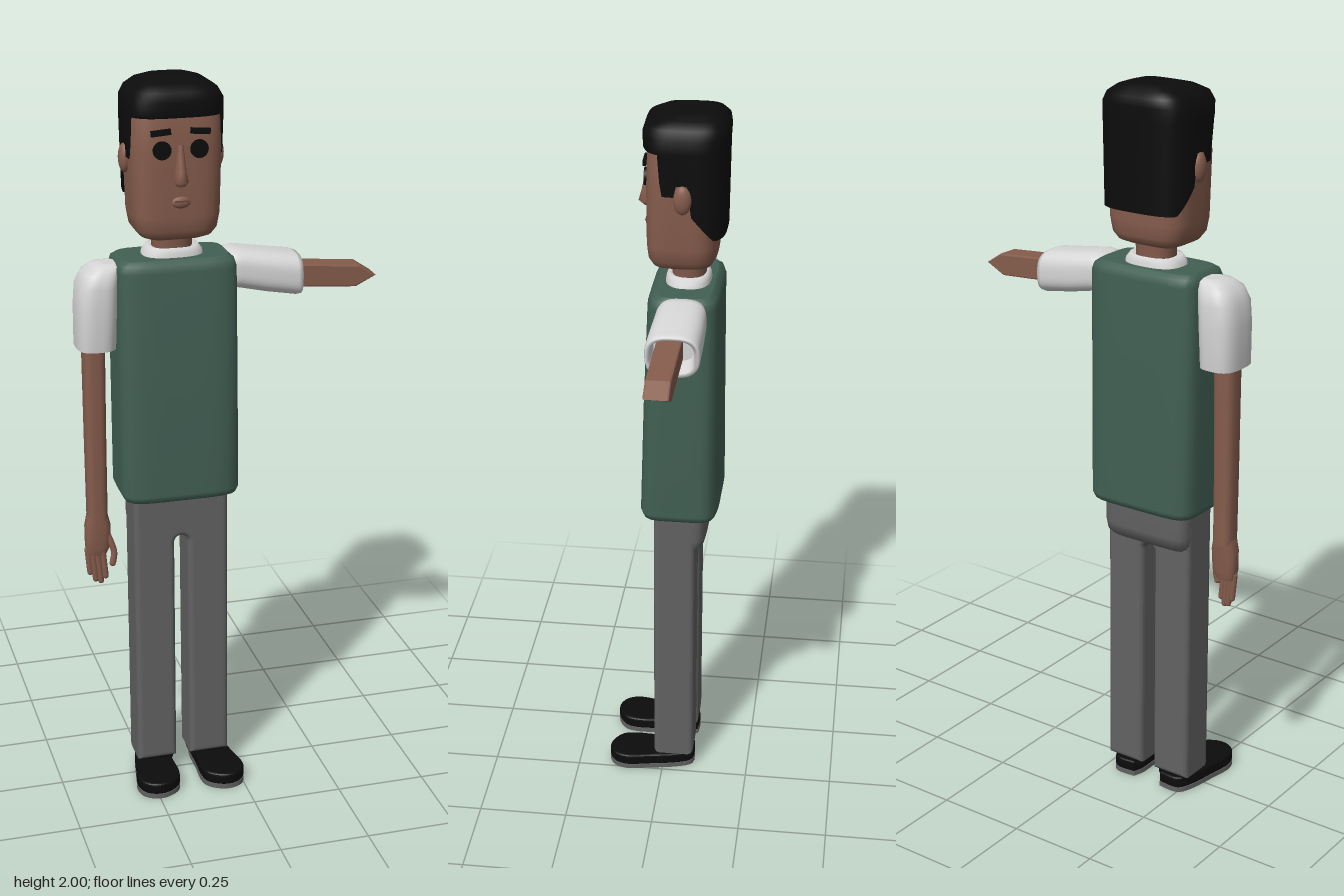
import * as THREE from 'three';

const CX = -0.147; // centre line of the body

const paint = (name, color) => {
  const m = new THREE.MeshStandardMaterial({ color, side: THREE.DoubleSide });
  m.name = name;
  return m;
};

// Skin of rounded-square rings. Section: [y, xCentre, zCentre, xRadius, zRadius]; y may be a function of z.
function loft(sections, power = 4, { bottom = true, top = true, n = 48 } = {}) {
  const pos = [], index = [];
  const ring = ([y, cx, cz, rx, rz]) => {
    const start = pos.length / 3;
    for (let j = 0; j < n; j++) {
      const a = (j / n) * Math.PI * 2, c = Math.cos(a), s = Math.sin(a);
      const r = (Math.abs(c) ** power + Math.abs(s) ** power) ** (-1 / power);
      const z = cz + rz * r * s;
      pos.push(cx + rx * r * c, typeof y === 'function' ? y(z) : y, z);
    }
    return start;
  };
  const starts = sections.map(ring);
  for (let i = 0; i < starts.length - 1; i++) {
    for (let j = 0; j < n; j++) {
      const k = (j + 1) % n;
      const a = starts[i] + j, b = starts[i] + k, c = starts[i + 1] + j, d = starts[i + 1] + k;
      index.push(a, c, b, b, c, d);
    }
  }
  const cap = (section, up) => {
    const s = ring(section), m = pos.length / 3;
    pos.push(section[1], section[0], section[2]);
    for (let j = 0; j < n; j++) {
      const k = (j + 1) % n;
      if (up) index.push(m, s + k, s + j);
      else index.push(m, s + j, s + k);
    }
  };
  if (bottom) cap(sections[0], false);
  if (top) cap(sections[sections.length - 1], true);
  const g = new THREE.BufferGeometry();
  g.setAttribute('position', new THREE.Float32BufferAttribute(pos, 3));
  g.setIndex(index);
  g.computeVertexNormals();
  return g;
}

// Hairline height at depth z: nape, behind the ear, sideburn, forehead
const HAIRLINE = [[-0.13, 1.68], [-0.07, 1.75], [-0.064, 1.83], [-0.032, 1.83], [-0.028, 1.8], [0.008, 1.8], [0.014, 1.91]];
function hairline(z) {
  if (z <= HAIRLINE[0][0]) return HAIRLINE[0][1];
  for (let i = 1; i < HAIRLINE.length; i++) {
    const [z0, y0] = HAIRLINE[i - 1], [z1, y1] = HAIRLINE[i];
    if (z <= z1) return y0 + ((y1 - y0) * (z - z0)) / (z1 - z0);
  }
  return 1.91;
}

export function createModel() {
  const group = new THREE.Group();
  const skin = paint('skin', 0x855c4c);
  const black = paint('black', 0x0c0c0c);
  const vestGreen = paint('vest green', 0x426054);
  const white = paint('shirt white', 0xd6d6d6);
  const grey = paint('trouser grey', 0x626262);
  const lipBrown = paint('lip brown', 0x6b463a);

  const add = (name, geometry, material, x = 0, y = 0, z = 0) => {
    const m = new THREE.Mesh(geometry, material);
    m.name = name;
    m.position.set(x, y, z);
    group.add(m);
    return m;
  };

  // Torso
  add('vest', loft([
    [0.855, CX, -0.044, 0.143, 0.088], [0.862, CX, -0.044, 0.156, 0.102], [0.88, CX, -0.044, 0.163, 0.109],
    [1.2, CX, -0.047, 0.163, 0.103], [1.5, CX, -0.052, 0.163, 0.096],
    [1.52, CX, -0.053, 0.157, 0.089], [1.53, CX, -0.053, 0.143, 0.075],
  ], 6), vestGreen);
  add('collar', loft([
    [1.52, CX, -0.056, 0.084, 0.062], [1.54, CX, -0.056, 0.08, 0.06],
    [1.555, CX, -0.056, 0.068, 0.054], [1.55, CX, -0.056, 0.05, 0.045],
  ], 2.6), white);
  add('neck', loft([
    [1.51, CX, -0.057, 0.054, 0.046], [1.57, CX, -0.057, 0.054, 0.046], [1.61, CX, -0.055, 0.064, 0.054],
  ], 2.2), skin);

  // Head
  add('head', loft([
    [1.583, CX, -0.043, 0.075, 0.06], [1.592, CX, -0.043, 0.095, 0.08], [1.612, CX, -0.043, 0.11, 0.091],
    [1.65, CX, -0.043, 0.117, 0.095], [1.82, CX, -0.043, 0.122, 0.096], [1.94, CX, -0.045, 0.118, 0.094],
    [1.965, CX, -0.045, 0.09, 0.07],
  ], 4), skin);
  add('hair', loft([
    [hairline, CX, -0.05, 0.126, 0.108], [1.915, CX, -0.05, 0.13, 0.111], [1.95, CX, -0.05, 0.129, 0.113],
    [1.973, CX, -0.052, 0.116, 0.108], [1.99, CX, -0.062, 0.09, 0.083], [2.0, CX, -0.07, 0.055, 0.05],
  ], 3.5, { bottom: false, n: 120 }), black);
  add('nose', loft([
    [1.733, CX, 0.045, 0.012, 0.02], [1.745, CX, 0.045, 0.02, 0.034],
    [1.77, CX, 0.045, 0.015, 0.027], [1.84, CX, 0.045, 0.008, 0.012],
  ], 2.5, { n: 20 }), skin);
  const mouth = add('mouth', new THREE.SphereGeometry(1, 20, 12), skin, CX, 1.69, 0.05);
  mouth.scale.set(0.026, 0.016, 0.01);
  add('lipLine', new THREE.BoxGeometry(0.034, 0.004, 0.006), lipBrown, CX, 1.694, 0.057);
  for (const s of [-1, 1]) {
    const eye = add('eye', new THREE.CylinderGeometry(0.024, 0.024, 0.008, 28), black, CX + s * 0.049, 1.828, 0.053);
    eye.rotation.x = Math.PI / 2;
    const brow = add('eyebrow', new THREE.BoxGeometry(0.052, 0.015, 0.009), black, CX + s * 0.052, 1.874, 0.054);
    brow.rotation.z = -s * 0.08;
    const ear = add('ear', new THREE.SphereGeometry(1, 18, 14), skin, CX + s * 0.125, 1.793, -0.05);
    ear.scale.set(0.016, 0.039, 0.024);
  }

  // Hanging right arm
  add('rightSleeve', loft([
    [1.34, -0.362, -0.052, 0.04, 0.055], [1.295, -0.362, -0.052, 0.045, 0.062], [1.29, -0.362, -0.052, 0.053, 0.07],
    [1.4, -0.359, -0.052, 0.055, 0.073], [1.46, -0.355, -0.052, 0.054, 0.072],
    [1.495, -0.344, -0.052, 0.048, 0.063], [1.513, -0.33, -0.052, 0.036, 0.045], [1.518, -0.322, -0.052, 0.02, 0.025],
  ], 3), white);
  add('rightArm', loft([
    [0.79, -0.369, -0.048, 0.028, 0.03], [1.0, -0.369, -0.048, 0.029, 0.031], [1.38, -0.367, -0.05, 0.031, 0.035],
  ], 3), skin);
  add('rightPalm', loft([
    [0.685, -0.373, -0.045, 0.026, 0.018], [0.71, -0.37, -0.045, 0.035, 0.024],
    [0.77, -0.369, -0.046, 0.036, 0.027], [0.81, -0.369, -0.048, 0.027, 0.029],
  ], 2.8), skin);
  for (let i = 0; i < 4; i++) {
    const length = [0.07, 0.09, 0.095, 0.08][i];
    const finger = add('finger', new THREE.CapsuleGeometry(0.0085, length, 4, 10), skin,
      -0.396 + i * 0.0135, 0.705 - length / 2 - 0.005, -0.045 + i * 0.004);
    finger.rotation.z = 0.09;
  }
  const thumbPath = new THREE.CatmullRomCurve3([
    new THREE.Vector3(-0.35, 0.76, -0.038), new THREE.Vector3(-0.335, 0.72, -0.03),
    new THREE.Vector3(-0.328, 0.69, -0.026), new THREE.Vector3(-0.333, 0.66, -0.024),
  ]);
  add('thumb', new THREE.TubeGeometry(thumbPath, 12, 0.009, 10), skin);
  add('thumbTip', new THREE.SphereGeometry(0.009, 10, 8), skin, -0.333, 0.66, -0.024);

  // Outstretched left arm, lofted upright and laid along x (local y is the reach, local x is minus the height)
  const leftSleeve = add('leftSleeve', loft([
    [-0.01, -1.48, -0.054, 0.042, 0.055], [0.006, -1.481, -0.054, 0.052, 0.063], [0.03, -1.48, -0.054, 0.055, 0.067],
    [0.1, -1.467, -0.052, 0.057, 0.07], [0.185, -1.454, -0.049, 0.058, 0.072], [0.198, -1.452, -0.049, 0.055, 0.068],
    [0.194, -1.452, -0.049, 0.046, 0.058], [0.14, -1.46, -0.049, 0.042, 0.054],
  ], 3), white);
  leftSleeve.rotation.z = -Math.PI / 2;
  const forearm = new THREE.Shape([[0.1, 1.425], [0.355, 1.408], [0.412, 1.437], [0.365, 1.468], [0.1, 1.49]]
    .map(([x, y]) => new THREE.Vector2(x, y)));
  const armGeometry = new THREE.ExtrudeGeometry(forearm, {
    depth: 0.056, bevelEnabled: true, bevelThickness: 0.005, bevelSize: 0.004, bevelOffset: -0.004, bevelSegments: 2,
  });
  add('leftArm', armGeometry, skin, 0, 0, -0.07).rotation.y = -0.02;

  // Trousers: one cut-out with an arch between the legs
  const cut = new THREE.Shape();
  cut.moveTo(-0.133, 0.05).lineTo(0.133, 0.05).lineTo(0.133, 0.87).lineTo(-0.133, 0.87);
  cut.closePath();
  const gap = new THREE.Shape();
  gap.moveTo(-0.133, 0.05);
  gap.lineTo(-0.02, 0.05);
  gap.lineTo(-0.019, 0.72);
  gap.absarc(0, 0.72, 0.019, Math.PI, 0, true);
  gap.lineTo(0.02, 0.05);
  gap.lineTo(0.133, 0.05);
  gap.lineTo(0.133, 0.87);
  gap.lineTo(-0.133, 0.87);
  gap.closePath();
  const trousers = new THREE.ExtrudeGeometry(gap, {
    depth: 0.084, bevelEnabled: true, bevelThickness: 0.016, bevelSize: 0.014, bevelOffset: -0.014, bevelSegments: 4,
  });
  add('trousers', trousers, grey, CX, 0, -0.074);
  add('seat', loft([
    [0.745, CX, -0.045, 0.125, 0.047], [0.765, CX, -0.046, 0.131, 0.068],
    [0.79, CX, -0.047, 0.133, 0.073], [0.88, CX, -0.047, 0.133, 0.073],
  ], 6), grey);

  // Shoes: [distance from the centre line, z]
  const outline = [[0.045, -0.088], [0.105, -0.088], [0.13, -0.04], [0.145, 0.04], [0.155, 0.1], [0.142, 0.14],
    [0.11, 0.159], [0.075, 0.155], [0.042, 0.13], [0.032, 0.09], [0.034, 0.03], [0.034, -0.05]];
  for (const s of [-1, 1]) {
    const curve = new THREE.SplineCurve([...outline, outline[0]].map(([d, z]) => new THREE.Vector2(s * d, -z)));
    const shape = new THREE.Shape(curve.getPoints(48).slice(0, -1));
    const sole = new THREE.ExtrudeGeometry(shape, { depth: 0.014, bevelEnabled: false }).rotateX(-Math.PI / 2);
    add('sole', sole, grey, CX, 0, 0);
    const upper = new THREE.ExtrudeGeometry(shape, {
      depth: 0.018, bevelEnabled: true, bevelThickness: 0.008, bevelSize: 0.006, bevelOffset: -0.006, bevelSegments: 3,
    }).rotateX(-Math.PI / 2);
    add('shoe', upper, black, CX, 0.02, 0);
    const cuff = loft([[0.035, CX + s * 0.075, -0.032, 0.05, 0.05], [0.06, CX + s * 0.075, -0.032, 0.05, 0.05]], 4);
    add('shoeCollar', cuff, black);
  }
  return group;
}
